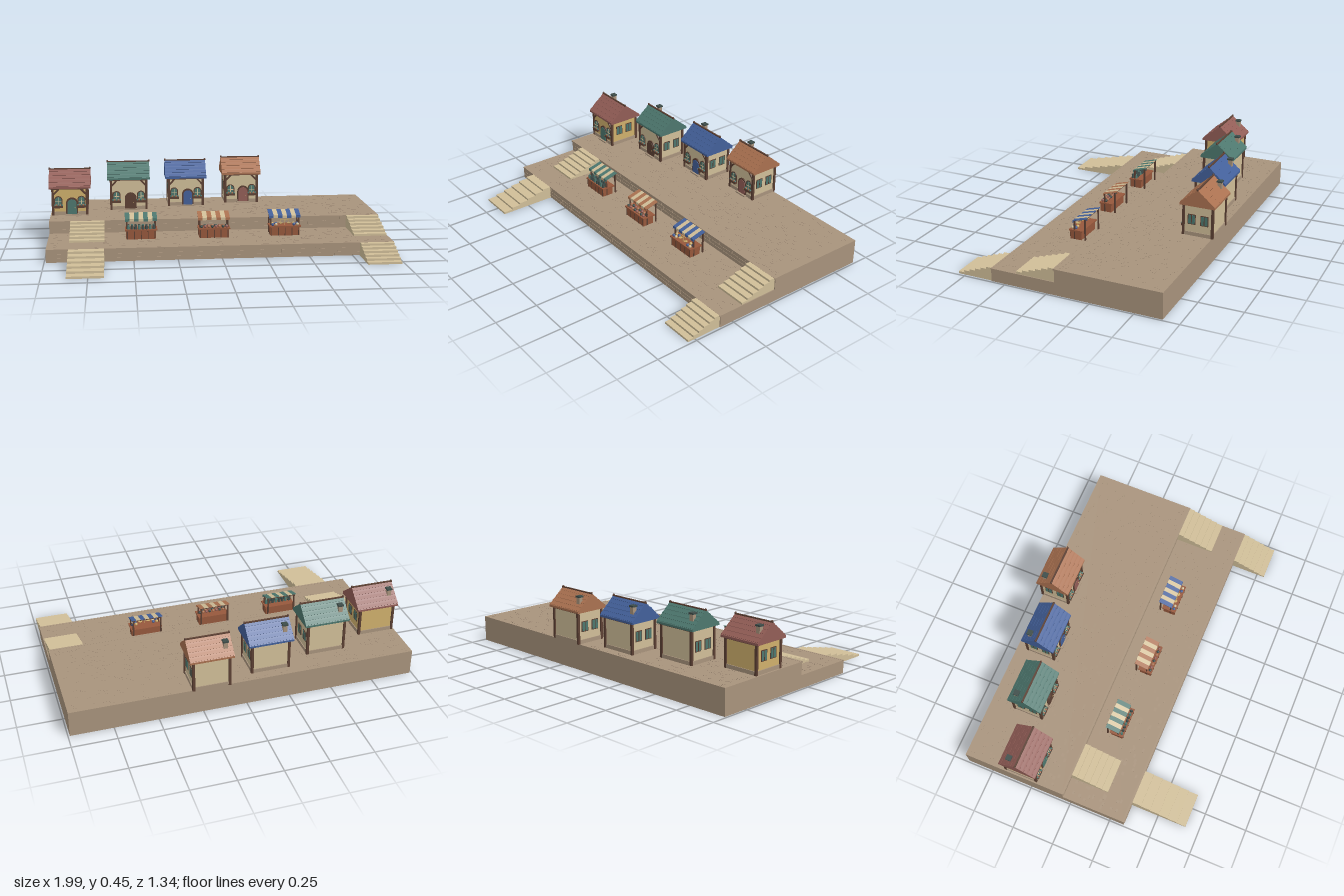
import * as THREE from 'three';
import { mergeGeometries } from 'three/addons/utils/BufferGeometryUtils.js';

const mat = (name, color) => new THREE.MeshStandardMaterial({ name, color });
const M = {
  stone: mat('stone', 0xa8937c), cream: mat('cream plaster', 0xd0be98), ochre: mat('ochre plaster', 0xcfb06c),
  red: mat('red tile', 0x925d56), teal: mat('teal paint', 0x4d776e), blue: mat('blue paint', 0x43609a),
  orange: mat('orange tile', 0xaa7150), timber: mat('dark timber', 0x5c4033),
  wood: mat('stall wood', 0x96583c), slate: mat('slate', 0x3d4c49),
};

function add(parent, name, geometry, material, x = 0, y = 0, z = 0) {
  const m = new THREE.Mesh(geometry, material);
  m.name = name;
  m.position.set(x, y, z);
  parent.add(m);
  return m;
}
// Box placed by its centre in x and z and by its bottom in y
const box = (p, name, material, w, h, d, x, y, z) =>
  add(p, name, new THREE.BoxGeometry(w, h, d), material, x, y + h / 2, z);
const group = (p, name, x = 0, y = 0, z = 0) => {
  const g = new THREE.Group();
  g.name = name;
  g.position.set(x, y, z);
  p.add(g);
  return g;
};

// Bar of square section between two points
function bar(p, name, material, a, b, t) {
  const A = new THREE.Vector3(...a), B = new THREE.Vector3(...b);
  const m = add(p, name, new THREE.BoxGeometry(t, A.distanceTo(B), t), material);
  m.position.copy(A).lerp(B, 0.5);
  m.quaternion.setFromUnitVectors(new THREE.Vector3(0, 1, 0), B.sub(A).normalize());
  return m;
}

// Upright plate with a rounded top, standing on y = 0
function arch(w, h, d) {
  const s = new THREE.Shape(), r = w / 2;
  s.moveTo(-r, 0);
  s.lineTo(r, 0);
  s.lineTo(r, h - r);
  s.absarc(0, h - r, r, 0, Math.PI, false);
  s.lineTo(-r, 0);
  return new THREE.ExtrudeGeometry(s, { depth: d, bevelEnabled: false, curveSegments: 8 });
}

let seed = 7;
const rand = () => ((seed = (seed * 16807) % 2147483647) / 2147483647);

function terraces(root) {
  const g = group(root, 'terraces');
  box(g, 'lowerTerrace', M.stone, 1.98, 0.075, 0.99, 0, 0, -0.16);
  box(g, 'upperTerrace', M.stone, 1.98, 0.075, 0.61, 0, 0.075, -0.35);
  box(g, 'lowerCoping', M.stone, 1.98, 0.008, 0.012, 0, 0.068, 0.332);
  box(g, 'upperCoping', M.stone, 1.98, 0.008, 0.012, 0, 0.143, -0.044);

  // Low cobbles scattered over both levels
  const cobbles = [];
  const scatter = (n, z0, z1, y) => {
    for (let i = 0; i < n; i++) {
      const c = new THREE.BoxGeometry(0.012 + rand() * 0.014, 0.002, 0.01 + rand() * 0.008);
      c.translate((rand() - 0.5) * 1.92, y, z0 + rand() * (z1 - z0));
      cobbles.push(c);
    }
  };
  scatter(420, -0.64, -0.07, 0.1502);
  scatter(260, -0.02, 0.31, 0.0752);
  add(g, 'cobbles', mergeGeometries(cobbles), M.stone);

  // Coursed blocks on the two retaining walls
  const blocks = [];
  for (const [y0, z] of [[0, 0.335], [0.075, -0.045]])
    for (let row = 0; row < 3; row++)
      for (let i = 0; i < 18; i++) {
        const b = new THREE.BoxGeometry(0.104, 0.02, 0.004);
        b.translate(-0.925 + i * 0.108 + (row % 2) * 0.02, y0 + 0.013 + row * 0.023, z);
        blocks.push(b);
      }
  add(g, 'wallBlocks', mergeGeometries(blocks), M.stone);
}

function stairs(root, name, x, w, zTop, zFoot, y0) {
  const g = group(root, name), n = 6, run = (zFoot - zTop) / n;
  for (let i = 0; i < n; i++)
    box(g, 'step', M.cream, w, (0.0755 * (n - i)) / n, run, x, y0, zTop + (i + 0.5) * run);
}

function archedWindow(p, x) {
  const g = group(p, 'frontWindow', x, 0.055, 0);
  add(g, 'windowFrame', arch(0.05, 0.062, 0.005), M.timber);
  add(g, 'windowPane', arch(0.038, 0.054, 0.003), M.teal, 0, 0.003, 0.004);
  box(g, 'mullion', M.cream, 0.004, 0.05, 0.003, 0, 0.004, 0.007);
  box(g, 'glazingBar', M.cream, 0.036, 0.004, 0.003, 0, 0.027, 0.007);
  box(g, 'flowerBox', M.timber, 0.056, 0.013, 0.018, 0, -0.009, 0.009);
  for (let i = -2; i <= 2; i++)
    add(g, 'plant', new THREE.IcosahedronGeometry(0.007, 0), i % 2 ? M.orange : M.teal, i * 0.011, 0.007, 0.01);
}

function house(root, { x, z, w, d, eave, ridge, wall, roof, door }) {
  const g = group(root, 'house', x, 0.15, z);
  const e = eave - 0.15, r = ridge - 0.15, ww = w - 0.045, wd = d - 0.036, fx = ww / 2, fz = wd / 2;
  box(g, 'plinth', M.stone, ww + 0.01, 0.022, wd + 0.01, 0, 0, 0);
  box(g, 'walls', wall, ww, e, wd, 0, 0, 0);

  // Timber frame
  for (const sx of [-1, 1]) {
    for (const sz of [-1, 1]) box(g, 'cornerPost', M.timber, 0.014, e, 0.014, sx * fx, 0, sz * fz);
    box(g, 'sideBeam', M.timber, 0.014, 0.014, wd, sx * fx, e - 0.012, 0);
    bar(g, 'brace', M.timber, [sx * fx, e - 0.05, fz + 0.003], [sx * (fx - 0.04), e - 0.008, fz + 0.003], 0.01);
  }
  for (const sz of [-1, 1]) box(g, 'eaveBeam', M.timber, ww + 0.02, 0.016, 0.014, 0, e - 0.014, sz * fz);

  // Solid gabled roof with ridge board and end knobs
  const s = new THREE.Shape([[-d / 2, e - 0.008], [d / 2, e - 0.008], [d / 2, e + 0.004], [0, r], [-d / 2, e + 0.004]]
    .map(([a, b]) => new THREE.Vector2(a, b)));
  const roofGeo = new THREE.ExtrudeGeometry(s, { depth: w, bevelEnabled: false });
  roofGeo.translate(0, 0, -w / 2).rotateY(Math.PI / 2);
  add(g, 'roof', roofGeo, roof);
  box(g, 'ridgeBoard', M.timber, w + 0.004, 0.007, 0.01, 0, r - 0.004, 0);
  for (const sx of [-1, 1])
    add(g, 'ridgeKnob', new THREE.IcosahedronGeometry(0.006, 1), M.timber, sx * w * 0.49, r + 0.004, 0);

  // Thin tile courses on both slopes
  const rise = r - e - 0.004, angle = Math.atan2(rise, d / 2);
  for (const sz of [-1, 1])
    for (let i = 0; i < 5; i++) {
      const t = (i + 0.5) / 5;
      const c = add(g, 'tileCourse', new THREE.BoxGeometry(w, 0.003, 0.018), roof, 0, e + 0.004 + rise * t, sz * (1 - t) * d / 2);
      c.rotation.x = sz * (angle - 0.06);
    }

  // Chimney
  box(g, 'chimney', M.stone, 0.024, r - e + 0.01, 0.024, -w * 0.34, e - 0.02, -0.055);
  box(g, 'chimneyCap', M.slate, 0.032, 0.009, 0.032, -w * 0.34, r - 0.018, -0.055);

  // Front door and windows
  const front = group(g, 'front', 0, 0, fz);
  add(front, 'doorFrame', arch(0.072, 0.108, 0.007), M.timber, 0.012);
  add(front, 'door', arch(0.056, 0.098, 0.005), door, 0.012, 0, 0.005);
  add(front, 'doorKnob', new THREE.IcosahedronGeometry(0.003, 1), M.ochre, 0.03, 0.045, 0.011);
  box(front, 'doorstep', M.stone, 0.08, 0.008, 0.022, 0.012, 0, 0.01);
  for (const sx of [-1, 1]) archedWindow(front, sx * (fx - 0.033));

  // Pair of windows on each gable wall
  for (const sx of [-1, 1])
    for (const sz of [-1, 1]) {
      box(g, 'sideWindowFrame', M.timber, 0.006, 0.06, 0.046, sx * fx, 0.066, sz * 0.037);
      box(g, 'sideWindowPane', M.teal, 0.009, 0.052, 0.038, sx * fx, 0.07, sz * 0.037);
      box(g, 'sideMullion', M.timber, 0.011, 0.052, 0.004, sx * fx, 0.07, sz * 0.037);
    }
}

function stall(root, x, z, stripe, goods) {
  const g = group(root, 'marketStall', x, 0.075, z);
  box(g, 'counter', M.wood, 0.172, 0.05, 0.07, 0, 0, 0.018);
  box(g, 'counterTop', M.wood, 0.186, 0.008, 0.084, 0, 0.05, 0.016);
  for (let i = -2; i <= 2; i++) box(g, 'counterBatten', M.timber, 0.005, 0.048, 0.003, i * 0.04, 0, 0.054);
  for (const sx of [-1, 1]) {
    box(g, 'backPost', M.timber, 0.008, 0.132, 0.008, sx * 0.083, 0, -0.04);
    box(g, 'frontPost', M.timber, 0.008, 0.112, 0.008, sx * 0.083, 0, 0.026);
  }
  box(g, 'backRail', M.timber, 0.178, 0.006, 0.006, 0, 0.126, -0.04);
  box(g, 'frontRail', M.timber, 0.178, 0.006, 0.006, 0, 0.108, 0.026);

  // Sloping striped awning with a hanging hem
  const n = 7, sw = 0.186 / n;
  for (let i = 0; i < n; i++) {
    const m = i % 2 ? M.cream : stripe, sx = (i - (n - 1) / 2) * sw;
    const c = add(g, 'awningStripe', new THREE.BoxGeometry(sw, 0.004, 0.084), m, sx, 0.125, -0.007);
    c.rotation.x = 0.27;
    box(g, 'awningHem', m, sw, 0.014, 0.003, sx, 0.101, 0.033);
  }
  // Wares laid out on the counter
  const geo = goods === 'jars' ? new THREE.CylinderGeometry(0.006, 0.009, 0.024, 8) : new THREE.IcosahedronGeometry(0.009, 1);
  const colours = { jars: [M.slate, M.teal, M.slate], fruit: [M.orange, M.slate, M.red], scales: [M.ochre, M.blue, M.cream] }[goods];
  for (let i = 0; i < 8; i++)
    for (let k = 0; k < 2; k++)
      if (goods !== 'scales' || Math.abs(i - 3.5) > 2)
        add(g, 'wares', geo, colours[(i + k) % 3], (i - 3.5) * 0.021, goods === 'jars' ? 0.07 : 0.066, 0.022 + k * 0.022);
  if (goods === 'scales') {
    box(g, 'scalePillar', M.ochre, 0.004, 0.036, 0.004, 0, 0.058, 0.035);
    box(g, 'scaleBeam', M.ochre, 0.05, 0.003, 0.003, 0, 0.092, 0.035);
    for (const sx of [-1, 1]) {
      box(g, 'scaleHanger', M.ochre, 0.002, 0.022, 0.002, sx * 0.024, 0.07, 0.035);
      add(g, 'scalePan', new THREE.CylinderGeometry(0.011, 0.007, 0.004, 10), M.ochre, sx * 0.024, 0.07, 0.035);
    }
  }
}

export function createModel() {
  const root = new THREE.Group();
  root.name = 'terracedMarket';
  terraces(root);
  stairs(root, 'lowerLeftStairs', -0.765, 0.2, 0.335, 0.67, 0);
  stairs(root, 'lowerRightStairs', 0.888, 0.194, 0.335, 0.545, 0);
  stairs(root, 'upperLeftStairs', -0.765, 0.2, -0.045, 0.185, 0.075);
  stairs(root, 'upperRightStairs', 0.888, 0.194, -0.045, 0.185, 0.075);

  house(root, { x: -0.872, z: -0.308, w: 0.25, d: 0.225, eave: 0.322, ridge: 0.418, wall: M.ochre, roof: M.red, door: M.teal });
  house(root, { x: -0.515, z: -0.422, w: 0.262, d: 0.208, eave: 0.347, ridge: 0.438, wall: M.cream, roof: M.teal, door: M.timber });
  house(root, { x: -0.155, z: -0.505, w: 0.258, d: 0.205, eave: 0.333, ridge: 0.428, wall: M.cream, roof: M.blue, door: M.blue });
  house(root, { x: 0.204, z: -0.572, w: 0.248, d: 0.205, eave: 0.34, ridge: 0.431, wall: M.cream, roof: M.orange, door: M.red });

  stall(root, -0.452, 0.085, M.teal, 'jars');
  stall(root, -0.028, 0.09, M.orange, 'fruit');
  stall(root, 0.392, 0.075, M.blue, 'scales');
  return root;
}
